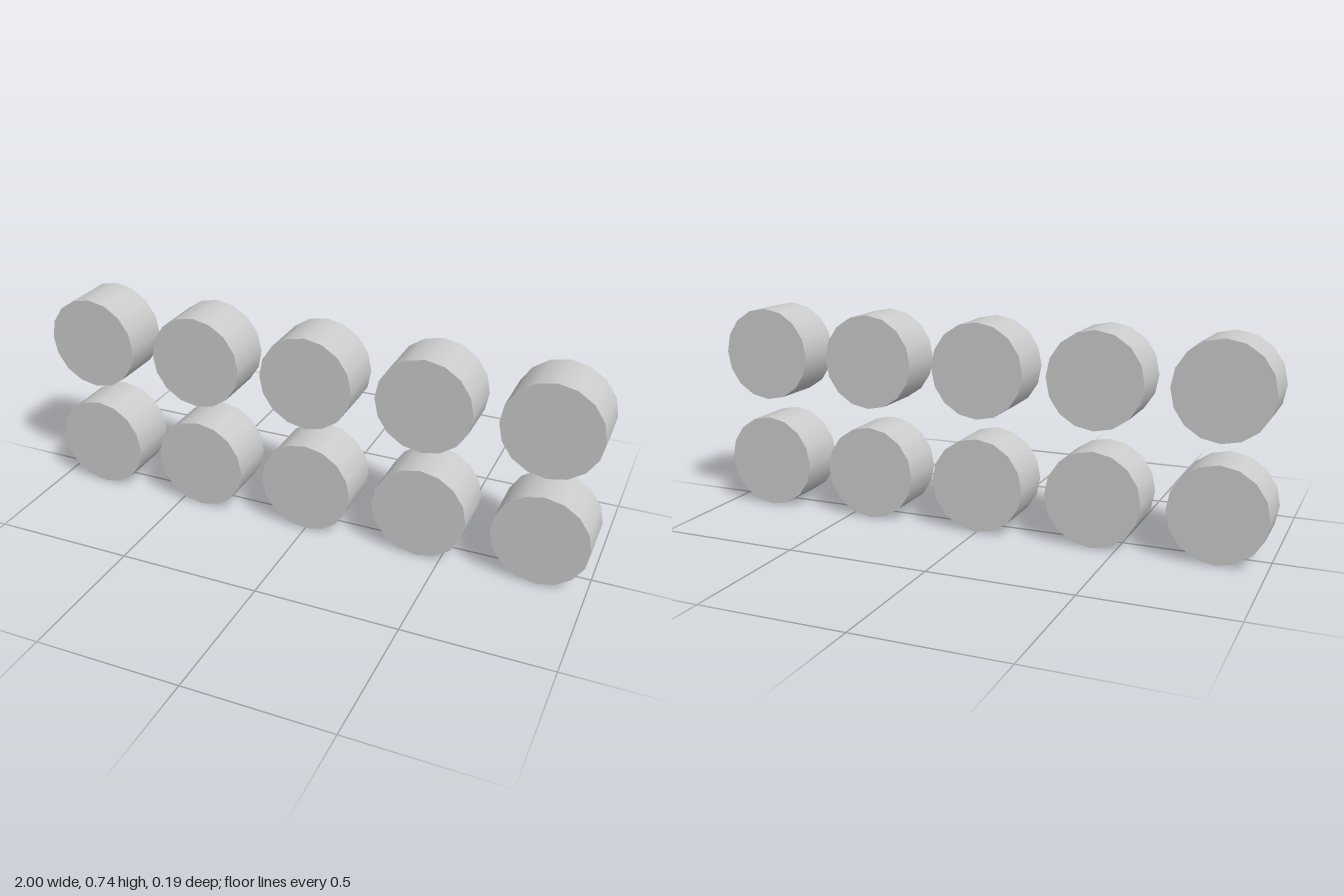
import * as THREE from 'three';

export function createModel() {
  const group = new THREE.Group();
  group.name = 'discArray';
  const radius = 0.167, depth = 0.187, columns = 5, rows = 2;
  const stepX = (2 - 2 * radius) / (columns - 1), stepY = 0.403;
  const material = new THREE.MeshStandardMaterial({ color: 0xcccccc });

  // One short drum, its axis turned to face front and back
  const drum = new THREE.CylinderGeometry(radius, radius, depth, 16).rotateX(Math.PI / 2);

  // Two rows of five drums
  for (let row = 0; row < rows; row++) {
    for (let col = 0; col < columns; col++) {
      const mesh = new THREE.Mesh(drum, material);
      mesh.name = `${row ? 'upper' : 'lower'}Drum${col + 1}`;
      mesh.position.set((col - (columns - 1) / 2) * stepX, radius + row * stepY, 0);
      group.add(mesh);
    }
  }
  return group;
}
